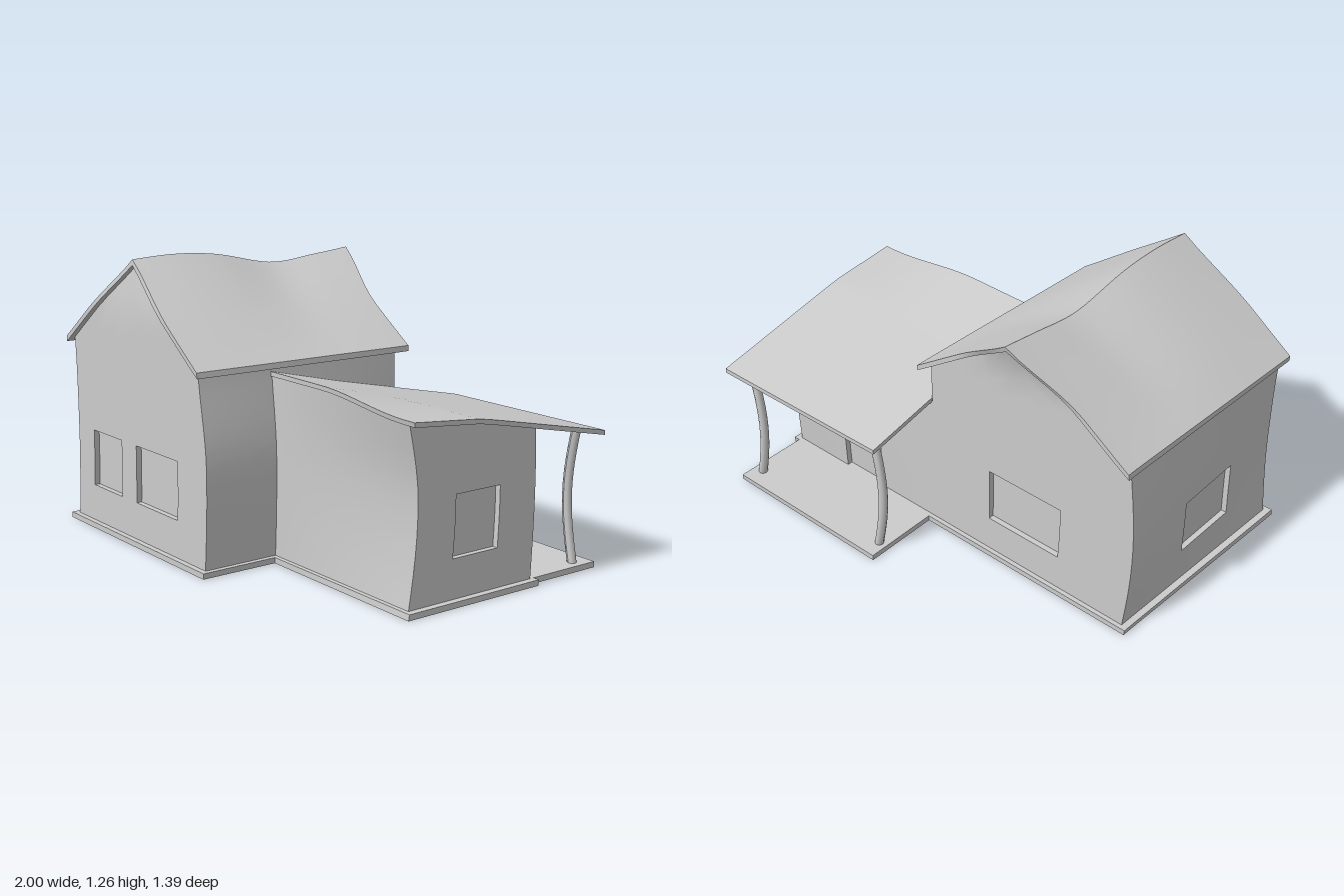
import * as THREE from 'three';
import { toCreasedNormals } from 'three/addons/utils/BufferGeometryUtils.js';

const { clamp, lerp, smoothstep } = THREE.MathUtils;
const material = new THREE.MeshStandardMaterial({ color: 0xcccccc });
const RIDGE_X = -0.437;
const FLOOR = 0.025;

// Crooked, hand-drawn bend shared by all parts of the house
function warp([x, y, z]) {
  const bulge = Math.sin(Math.PI * clamp(y / 0.85, 0, 1));
  const top = smoothstep(y, 0.45, 0.85);
  const back = clamp((0.67 - z) / 0.99, 0, 1);
  const left = clamp((0.1 - x) / 1.07, 0, 1);
  const right = clamp((x - 0.1) / 0.86, 0, 1);
  const front = clamp((z + 0.32) / 0.64, 0, 1);
  const dx = (1 - right) * ((1 - back) * (0.022 * bulge + top * lerp(-0.03, 0.01, left))
    + back * left * 0.035 * (1 - bulge));
  const dz = right * (front * (-0.045 * bulge + 0.02 * top) - (1 - front) * 0.015 * bulge)
    - lerp(0.035, 0.08, back) * smoothstep(y, 1, 1.25);
  return [x + dx, y, z + dz];
}

// Sagging ridge height along z
const ridgeCurve = new THREE.SplineCurve([
  [-0.45, 1.235], [-0.2, 1.205], [0.02, 1.185], [0.3, 1.24], [0.5, 1.255], [0.7, 1.245],
].map(([z, y]) => new THREE.Vector2(z, y)));
const ridgePoints = ridgeCurve.getPoints(60);
function ridgeY(z) {
  const i = ridgePoints.findIndex((p) => p.x >= z);
  if (i < 0) return ridgePoints[60].y;
  if (i === 0) return ridgePoints[0].y;
  const a = ridgePoints[i - 1], b = ridgePoints[i];
  return lerp(a.y, b.y, (z - a.x) / (b.x - a.x));
}
const mainRoofY = (x, z) => lerp(ridgeY(z), 0.853, Math.abs(x - RIDGE_X) / 0.56);
const lowRoofY = (x, z) => 0.735
  + z * (z < 0 ? 0.21 : 0.235 - 0.14 * smoothstep(x, 0.45, 0.95));

// Collects quads and turns them into a smooth mesh with sharp corners
function quadMesh(name, fill) {
  const pos = [];
  fill((a, b, c, d) => {
    const [p, q, r, s] = [a, b, c, d].map(warp);
    pos.push(...p, ...q, ...r, ...p, ...r, ...s);
  });
  const geo = new THREE.BufferGeometry();
  geo.setAttribute('position', new THREE.Float32BufferAttribute(pos, 3));
  const mesh = new THREE.Mesh(toCreasedNormals(geo, 0.6), material);
  mesh.name = name;
  return mesh;
}

// Sheet of constant thickness over x0..x1, z0..z1
function slab(name, [x0, x1], [z0, z1], topY, thick, nx = 16, nz = 16) {
  const at = (i, j, down = 0) => {
    const x = lerp(x0, x1, i / nx), z = lerp(z0, z1, j / nz);
    return [x, topY(x, z) - down, z];
  };
  return quadMesh(name, (quad) => {
    for (let i = 0; i < nx; i++) {
      for (let j = 0; j < nz; j++) {
        quad(at(i, j + 1), at(i + 1, j + 1), at(i + 1, j), at(i, j));
        quad(at(i, j, thick), at(i + 1, j, thick), at(i + 1, j + 1, thick), at(i, j + 1, thick));
      }
      quad(at(i, nz, thick), at(i + 1, nz, thick), at(i + 1, nz), at(i, nz));
      quad(at(i + 1, 0, thick), at(i, 0, thick), at(i, 0), at(i + 1, 0));
    }
    for (let j = 0; j < nz; j++) {
      quad(at(nx, j + 1, thick), at(nx, j, thick), at(nx, j), at(nx, j + 1));
      quad(at(0, j, thick), at(0, j + 1, thick), at(0, j + 1), at(0, j));
    }
  });
}

// Grid lines: even steps plus the edges of the openings
function gridLines(end0, end1, n, extra) {
  const all = Array.from({ length: n + 1 }, (_, i) => lerp(end0, end1, i / n)).concat(extra);
  return all.sort((a, b) => a - b).filter((v, i) => i === 0 || v - all[i - 1] > 1e-5);
}

// Wall running from [x, z] along u, with recessed openings [u0, u1, y0, y1]
function wall(name, [x0, z0], [ux, uz], length, topY, openings) {
  const knee = 0.5, depth = 0.025;
  const us = gridLines(0, length, 14, openings.flatMap((o) => [o[0], o[1]]));
  const vs = gridLines(FLOOR, 1, 14, openings.flatMap((o) => [o[2], o[3]]).concat(knee));
  const at = (i, j, inward = 0) => {
    const x = x0 + ux * us[i], z = z0 + uz * us[i], v = vs[j];
    const y = v <= knee ? v : lerp(knee, topY(x, z), (v - knee) / (1 - knee));
    return [x + uz * inward, y, z - ux * inward];
  };
  const open = (i, j) => {
    if (i < 0 || j < 0 || i >= us.length - 1 || j >= vs.length - 1) return false;
    const u = (us[i] + us[i + 1]) / 2, v = (vs[j] + vs[j + 1]) / 2;
    return openings.some((o) => u > o[0] && u < o[1] && v > o[2] && v < o[3]);
  };
  return quadMesh(name, (quad) => {
    for (let i = 0; i < us.length - 1; i++) {
      for (let j = 0; j < vs.length - 1; j++) {
        const I = i + 1, J = j + 1, d = open(i, j) ? depth : 0;
        quad(at(i, j, d), at(I, j, d), at(I, J, d), at(i, J, d));
        if (!d) continue;
        if (!open(i - 1, j)) quad(at(i, j), at(i, j, d), at(i, J, d), at(i, J));
        if (!open(I, j)) quad(at(I, j, d), at(I, j), at(I, J), at(I, J, d));
        if (!open(i, J)) quad(at(i, J), at(i, J, d), at(I, J, d), at(I, J));
        if (!open(i, j - 1)) quad(at(i, j), at(I, j), at(I, j, d), at(i, j, d));
      }
    }
  });
}

// Bent porch post
function post(name, x, z) {
  const height = lowRoofY(x, z) - 0.01 - FLOOR;
  const geo = new THREE.CylinderGeometry(0.02, 0.02, height, 8, 12);
  geo.translate(0, height / 2, 0);
  const p = geo.attributes.position;
  for (let i = 0; i < p.count; i++) {
    p.setX(i, p.getX(i) - 0.04 * Math.sin(Math.PI * p.getY(i) / height));
  }
  geo.computeVertexNormals();
  const mesh = new THREE.Mesh(geo, material);
  mesh.name = name;
  mesh.position.set(x, FLOOR, z);
  return mesh;
}

export function createModel() {
  const house = new THREE.Group();
  house.name = 'house';
  const floorY = () => FLOOR;
  const mainTop = (x, z) => mainRoofY(x, z) - 0.015;
  const lowTop = (x, z) => lowRoofY(x, z) - 0.012;
  const sill = 0.19, head = 0.445;

  house.add(
    // Floor plates
    slab('mainBase', [-1, 0.12], [-0.34, 0.695], floorY, FLOOR),
    slab('wingBase', [0.12, 0.99], [-0.34, 0.34], floorY, FLOOR),
    slab('porchFloor', [0.12, 0.96], [-0.69, -0.34], floorY, FLOOR),
    // Main house walls
    wall('frontWall', [-0.97, 0.67], [1, 0], 1.066, mainTop,
      [[0.14, 0.385, sill, head], [0.51, 0.845, sill, head]]),
    wall('innerSideWall', [0.096, 0.67], [0, -1], 0.99, mainTop, []),
    wall('backWall', [0.096, -0.32], [-1, 0], 1.066, mainTop, [[0.32, 0.7, sill, head]]),
    wall('outerSideWall', [-0.97, -0.32], [0, 1], 0.99, mainTop, [[0.37, 0.695, sill, head]]),
    // Side wing walls
    wall('wingFrontWall', [0.08, 0.32], [1, 0], 0.88, lowTop, []),
    wall('wingSideWall', [0.96, 0.32], [0, -1], 0.64, lowTop, [[0.2, 0.44, sill, head]]),
    wall('wingBackWall', [0.96, -0.32], [-1, 0], 0.88, lowTop, [[0.31, 0.54, FLOOR, head]]),
    // Roofs
    slab('mainRoof', [RIDGE_X - 0.563, RIDGE_X + 0.563], [-0.372, 0.695], mainRoofY, 0.025, 20, 24),
    slab('wingRoof', [0.1, 1], [-0.67, 0.328], lowRoofY, 0.02),
    // Porch posts
    post('porchPostInner', 0.16, -0.61),
    post('porchPostOuter', 0.91, -0.61),
  );
  return house;
}
